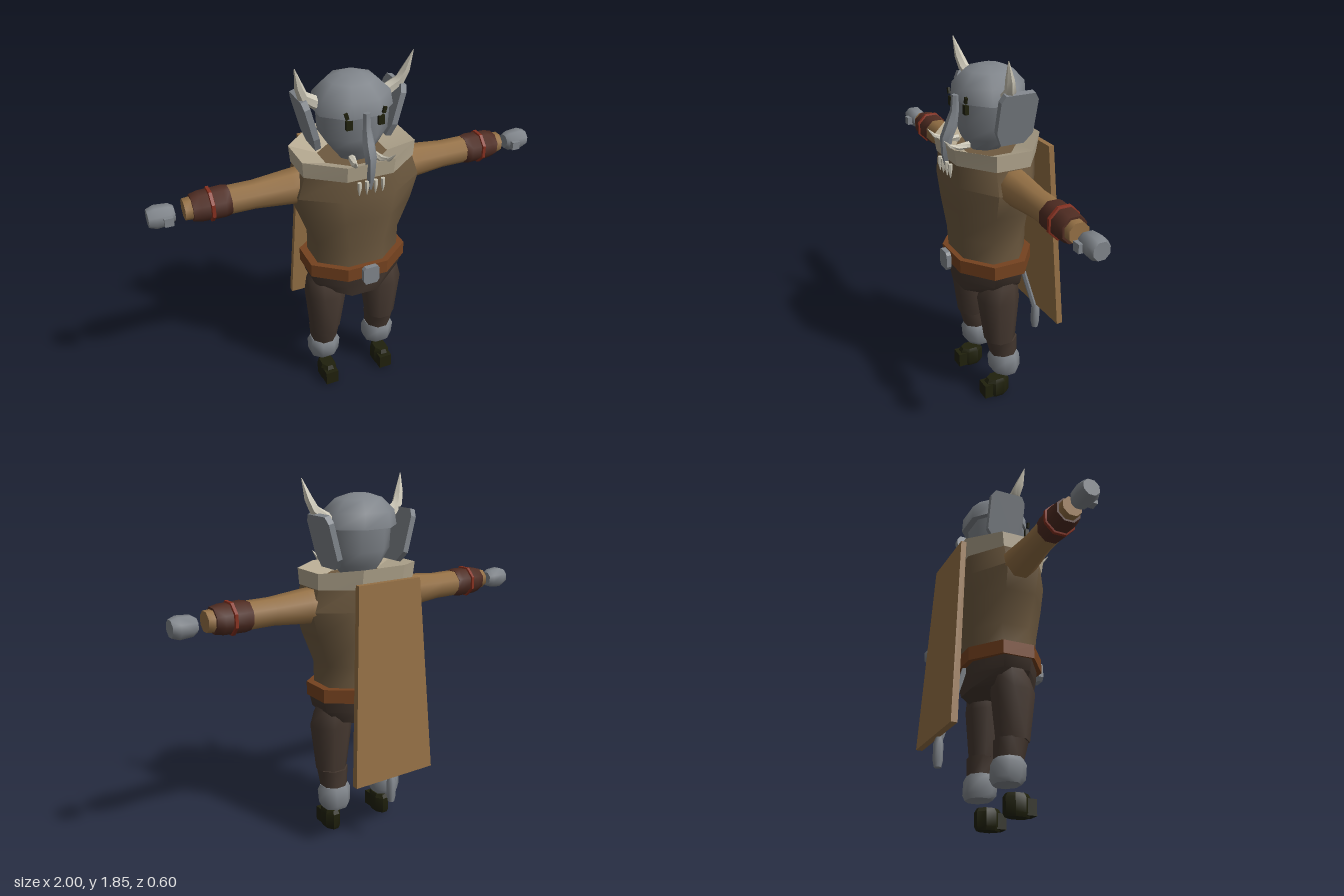
import * as THREE from 'three';
import { toCreasedNormals } from 'three/addons/utils/BufferGeometryUtils.js';

const makeMaterial = (name, color, side = THREE.FrontSide) => {
  const m = new THREE.MeshStandardMaterial({ color, side });
  m.name = name;
  return m;
};

// Eight-sided horizontal ring; rx and rz are measured to the flats.
function ring(y, rx, rz, cx = 0, cz = 0) {
  const k = 1 / Math.cos(Math.PI / 8);
  return Array.from({ length: 8 }, (_, i) => {
    const a = (i + 0.5) * Math.PI / 4;
    return new THREE.Vector3(cx + Math.cos(a) * rx * k, y, cz - Math.sin(a) * rz * k);
  });
}

// Skin over a stack of rings, optionally capped.
function loft(rings, crease = 1, caps = true) {
  const n = rings[0].length, pos = [];
  const tri = (...v) => v.forEach(p => pos.push(p.x, p.y, p.z));
  for (let r = 0; r < rings.length - 1; r++) {
    const a = rings[r], b = rings[r + 1];
    for (let i = 0; i < n; i++) {
      const j = (i + 1) % n;
      tri(a[i], a[j], b[j]);
      tri(a[i], b[j], b[i]);
    }
  }
  if (caps) {
    const a = rings[0], b = rings[rings.length - 1];
    for (let i = 1; i < n - 1; i++) {
      tri(a[0], a[i + 1], a[i]);
      tri(b[0], b[i], b[i + 1]);
    }
  }
  const g = new THREE.BufferGeometry();
  g.setAttribute('position', new THREE.Float32BufferAttribute(pos, 3));
  return toCreasedNormals(g, crease);
}

// Tapering limb along a path of [x, y, z, radius].
function taper(path, sides = 6) {
  const pts = path.map(p => new THREE.Vector3(p[0], p[1], p[2]));
  return loft(pts.map((p, k) => {
    const t = pts[Math.min(k + 1, pts.length - 1)].clone().sub(pts[Math.max(k - 1, 0)]).normalize();
    const u = new THREE.Vector3(0, 0, 1).cross(t).normalize();
    const v = t.clone().cross(u);
    return Array.from({ length: sides }, (_, i) => {
      const a = i * 2 * Math.PI / sides;
      return p.clone().addScaledVector(u, Math.cos(a) * path[k][3]).addScaledVector(v, Math.sin(a) * path[k][3]);
    });
  }));
}

// Flat plate from an outline, centred in depth.
function plate(outline, depth) {
  const s = new THREE.Shape(outline.map(p => new THREE.Vector2(...p)));
  return new THREE.ExtrudeGeometry(s, { depth, bevelEnabled: false }).translate(0, 0, -depth / 2);
}

// Mirrored copy across x with the winding put right.
function mirror(geo) {
  const g = geo.index ? geo.toNonIndexed() : geo.clone();
  g.scale(-1, 1, 1);
  for (const key of ['position', 'normal']) {
    const at = g.attributes[key];
    for (let i = 0; i < at.count; i += 3) {
      const b = [at.getX(i + 1), at.getY(i + 1), at.getZ(i + 1)];
      at.setXYZ(i + 1, at.getX(i + 2), at.getY(i + 2), at.getZ(i + 2));
      at.setXYZ(i + 2, ...b);
    }
  }
  return g;
}

export function createModel() {
  const model = new THREE.Group();
  model.name = 'hornedWarrior';
  const grey = makeMaterial('greySkin', 0x80858b);
  const brown = makeMaterial('brownTunic', 0x6e5a40);
  const tan = makeMaterial('tanCloth', 0x947045);
  const leather = makeMaterial('beltLeather', 0x75421f);
  const trousers = makeMaterial('darkTrousers', 0x44372f);
  const bracer = makeMaterial('bracerLeather', 0x4f2c22);
  const red = makeMaterial('redBand', 0x86301f);
  const dark = makeMaterial('darkOlive', 0x1f200c);
  const bone = makeMaterial('bone', 0xcdc8b8);
  const fur = makeMaterial('collarFur', 0xb3a78f, THREE.DoubleSide);

  const add = (name, geo, mat) => {
    const m = new THREE.Mesh(geo, mat);
    m.name = name;
    model.add(m);
  };
  const pair = (name, geo, mat) => {
    add('left' + name, geo, mat);
    add('right' + name, mirror(geo), mat);
  };

  // Body
  add('torso', loft([
    ring(0.78, 0.22, 0.17, 0, 0.03), ring(0.94, 0.22, 0.178, 0, 0.033), ring(1.1, 0.28, 0.195, 0, 0.035),
    ring(1.23, 0.315, 0.207, 0, 0.035), ring(1.37, 0.27, 0.207, 0, 0.03)]), brown);
  add('hips', loft([ring(0.635, 0.17, 0.165, 0, 0.03), ring(0.7, 0.235, 0.17, 0, 0.03),
    ring(0.77, 0.25, 0.175, 0, 0.03)]), trousers);
  add('belt', loft([ring(0.76, 0.258, 0.2, 0, 0.03), ring(0.83, 0.258, 0.2, 0, 0.03)], 0.3), leather);
  add('buckle', plate([[-0.043, 0.77], [-0.03, 0.75], [0.03, 0.75], [0.043, 0.77],
    [0.043, 0.835], [0.03, 0.848], [-0.03, 0.848], [-0.043, 0.835]], 0.025).translate(0, 0, 0.262), grey);
  const collarTop = ring(1.42, 0.29, 0.228, 0, 0.027);
  collarTop.forEach(p => { if (p.z < -0.1) { p.y = 1.44; } });
  add('collar', loft([ring(1.34, 0.285, 0.213, 0, 0.03), collarTop, ring(1.375, 0.16, 0.13, 0, 0.03)], 0.3, false), fur);

  // Legs
  pair('Thigh', loft([ring(0.355, 0.075, 0.075, 0.163, 0.037), ring(0.6, 0.102, 0.1, 0.157, 0.043),
    ring(0.68, 0.09, 0.085, 0.155, 0.033), ring(0.77, 0.06, 0.05, 0.15, 0.025)]), trousers);
  pair('Shin', loft([ring(0.25, 0.065, 0.065, 0.163, 0.013), ring(0.36, 0.075, 0.078, 0.163, 0.028)]), trousers);
  pair('BootCuff', loft([ring(0.145, 0.068, 0.062, 0.163, 0.003), ring(0.17, 0.078, 0.078, 0.163, 0.008),
    ring(0.24, 0.082, 0.078, 0.163, 0.013), ring(0.268, 0.07, 0.065, 0.163, 0.013)]), grey);
  pair('Foot', loft([ring(0, 0.034, 0.055, 0.163, 0.053), ring(0.02, 0.044, 0.064, 0.163, 0.053),
    ring(0.09, 0.044, 0.064, 0.163, 0.053), ring(0.11, 0.034, 0.052, 0.163, 0.053)], 0.5), dark);
  pair('Toe', new THREE.BoxGeometry(0.07, 0.078, 0.05).translate(0.163, 0.048, 0.113), dark);

  // Arms: profiles of [x, radius] turned onto the x axis
  const armPart = (profile, crease) => loft(profile.map(([x, r]) => ring(x, r, r)), crease)
    .rotateZ(-Math.PI / 2).translate(0, 1.252, 0.022);
  pair('Arm', armPart([[0.24, 0.085], [0.32, 0.08], [0.5, 0.064], [0.66, 0.064], [0.8, 0.05], [0.835, 0.048]]), tan);
  pair('Bracer', armPart([[0.62, 0.066], [0.65, 0.071], [0.76, 0.068], [0.8, 0.06]]), bracer);
  pair('BracerBand', armPart([[0.7, 0.066], [0.704, 0.077], [0.719, 0.077], [0.723, 0.066]], 0.5), red);
  pair('Hand', armPart([[0.878, 0.034], [0.9, 0.047], [0.965, 0.052], [1, 0.04]]).translate(0, -0.007, 0), grey);
  pair('Thumb', new THREE.BoxGeometry(0.042, 0.042, 0.05).translate(0.915, 1.24, 0.065), grey);

  // Head
  add('head', loft([ring(1.37, 0.07, 0.08, 0, 0.03), ring(1.43, 0.115, 0.115, 0, 0.03),
    ring(1.5, 0.158, 0.135, 0, 0.03), ring(1.62, 0.165, 0.14, 0, 0.03)]), grey);
  add('skullCap', loft([ring(1.615, 0.184, 0.162, 0, 0.018), ring(1.69, 0.17, 0.158, 0, 0.018),
    ring(1.75, 0.11, 0.105, 0, 0.015), ring(1.772, 0.045, 0.045, 0, 0.01)]), grey);
  pair('Ear', plate([[0.08, 0.1], [0.06, 0.135], [-0.09, 0.135], [-0.112, 0.1], [-0.112, -0.08],
    [-0.07, -0.13], [0.05, -0.13], [0.08, -0.06]], 0.03)
    .rotateY(-Math.PI / 2).rotateZ(-0.26).translate(0.215, 1.558, 0), grey);
  pair('Horn', taper([[0.15, 1.64, 0.01, 0.035], [0.2, 1.67, 0.018, 0.031], [0.245, 1.705, 0.03, 0.027],
    [0.267, 1.76, 0.045, 0.022], [0.29, 1.852, 0.065, 0.002]]), bone);
  pair('Eye', new THREE.BoxGeometry(0.03, 0.045, 0.02).translate(0.08, 1.592, 0.174), dark);
  pair('Brow', new THREE.BoxGeometry(0.016, 0.03, 0.012).rotateZ(-0.3).translate(0.094, 1.64, 0.18), dark);
  add('trunk', taper([[0, 1.645, 0.19, 0.018], [0, 1.57, 0.195, 0.021], [0, 1.5, 0.215, 0.031],
    [0, 1.44, 0.242, 0.03], [0, 1.36, 0.245, 0.022], [0, 1.28, 0.238, 0.01]]), grey);
  pair('Tusk', taper([[0.055, 1.41, 0.15, 0.018], [0.072, 1.41, 0.22, 0.016], [0.086, 1.43, 0.265, 0.01],
    [0.1, 1.465, 0.295, 0.001]]), bone);
  for (const x of [-0.06, -0.022, 0.022, 0.06])
    add('necklaceTooth', taper([[x, 1.26, 0.25, 0.002], [x, 1.3, 0.252, 0.011], [x, 1.33, 0.25, 0.011]]), bone);

  // Cape board, wider and further back at the hem
  const slab = (y, w, z0, z1) => [[w, z1], [w, z0], [-w, z0], [-w, z1]].map(([x, z]) => new THREE.Vector3(x, y, z));
  add('capeBoard', loft([slab(0.385, 0.235, -0.305, -0.272), slab(1.38, 0.18, -0.248, -0.22)], 0.3), tan);
  add('capeClasp', new THREE.BoxGeometry(0.025, 0.025, 0.09).translate(0, 1.33, -0.19), dark);

  // Tail with tuft
  add('tail', taper([[0, 0.78, -0.14, 0.014], [0, 0.57, -0.205, 0.014], [0, 0.36, -0.27, 0.014]]), grey);
  add('tailTuft', loft([ring(0.238, 0.016, 0.016, 0, -0.275), ring(0.27, 0.022, 0.022, 0, -0.275),
    ring(0.35, 0.023, 0.023, 0, -0.275), ring(0.39, 0.013, 0.013, 0, -0.272)]), grey);
  return model;
}
